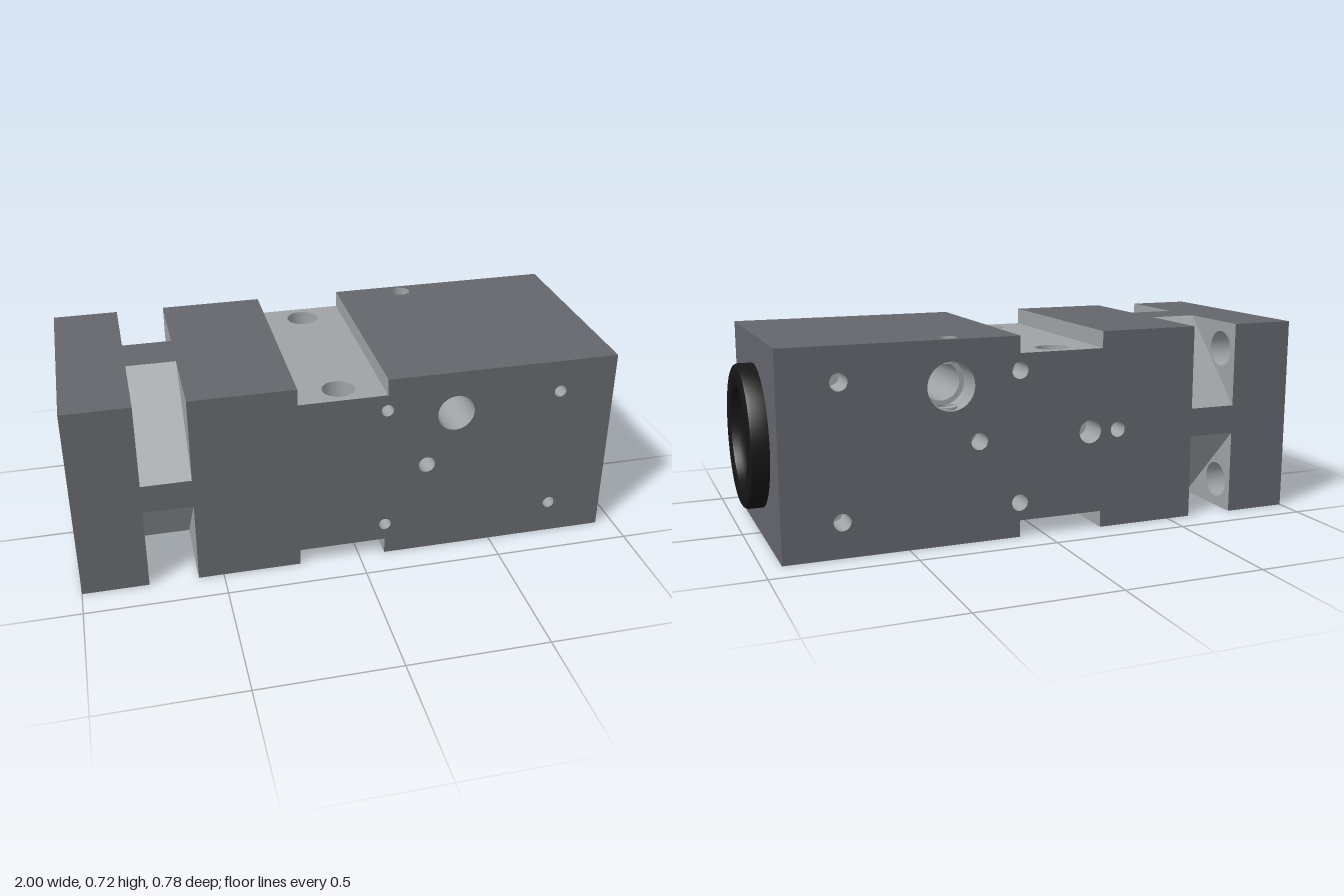
import * as THREE from 'three';
import { toCreasedNormals } from 'three/addons/utils/BufferGeometryUtils.js';

const W = 0.39, H = 0.715, CY = H / 2;          // half depth, height, bore axis
const X0 = -1, X1 = 0.935;                      // block ends
const P0 = -0.765, P1 = -0.59;                  // corner pockets
const G0 = -0.22, G1 = 0.095, GD = 0.06;        // cross grooves
const PY = 0.305, PZ = 0.085;                   // pocket height, inner z

const material = (color) => new THREE.MeshStandardMaterial({ color, side: THREE.DoubleSide });

export function createModel() {
  const model = new THREE.Group();
  const dark = material(0x64666c), metal = material(0xa0a3a5), black = material(0x161616);

  const add = (name, geometry, mat) => {
    const mesh = new THREE.Mesh(geometry, mat);
    mesh.name = name;
    model.add(mesh);
    return mesh;
  };

  // In-plane coordinates: x-faces use (z, y), y-faces (x, z), z-faces (x, y)
  const place = { x: (a, b, l) => [l, b, a], y: (a, b, l) => [a, l, b], z: (a, b, l) => [a, b, l] };

  // Flat face at a level on an axis, with round holes given as [a, b, r]
  function panel(name, axis, sign, level, points, holes = [], mat = dark) {
    const shape = new THREE.Shape(points.map(([a, b]) => new THREE.Vector2(a, b)));
    for (const [a, b, r] of holes) shape.holes.push(new THREE.Path().absarc(a, b, r, 0, Math.PI * 2, true));
    const geometry = new THREE.ShapeGeometry(shape, 24);
    const pos = geometry.attributes.position;
    for (let i = 0; i < pos.count; i++) pos.setXYZ(i, ...place[axis](pos.getX(i), pos.getY(i), level));
    if ((axis === 'z') !== (sign > 0)) geometry.index.array.reverse();
    geometry.computeVertexNormals();
    add(name, geometry, mat);
  }

  const rect = (a0, b0, a1, b1) => [[a0, b0], [a1, b0], [a1, b1], [a0, b1]];
  const circle = (a, b, r) => Array.from({ length: 48 }, (_, i) => {
    const t = (i / 48) * Math.PI * 2;
    return [a + r * Math.cos(t), b + r * Math.sin(t)];
  });

  // Inner wall of a drilled hole, with an optional floor at its far end
  function drill(name, axis, a, b, r, from, to, floor = false) {
    const geometry = new THREE.CylinderGeometry(r, r, Math.abs(to - from), 48, 1, true);
    if (axis === 'x') geometry.rotateZ(Math.PI / 2);
    if (axis === 'z') geometry.rotateX(Math.PI / 2);
    geometry.translate(...place[axis](a, b, (from + to) / 2));
    add(name, geometry, metal);
    if (floor) panel(name + 'Floor', axis, Math.sign(from - to), to, circle(a, b, r), [], metal);
  }

  // Front and back faces with their drilled holes
  const side = [
    [X0, 0], [P0, 0], [P0, PY], [P1, PY], [P1, 0], [G0, 0], [G0, GD], [G1, GD], [G1, 0], [X1, 0],
    [X1, H], [G1, H], [G1, H - GD], [G0, H - GD], [G0, H], [P1, H], [P1, H - PY], [P0, H - PY], [P0, H], [X0, H],
  ];
  const screws = (r) => [[0.095, 0.125, r], [0.095, 0.595, r], [0.73, 0.125, r], [0.73, 0.595, r]];
  const frontBlind = [...screws(0.022), [0.245, CY, 0.03]];
  const backBlind = [...screws(0.03), [0.245, CY, 0.03], [-0.175, CY, 0.042], [-0.285, CY, 0.028]];
  const cross = [0.345, 0.555];
  panel('frontFace', 'z', 1, W, side, [...frontBlind, [...cross, 0.067]]);
  panel('backFace', 'z', -1, -W, side, [...backBlind, [...cross, 0.085]]);
  for (const [a, b, r] of frontBlind) drill('frontHole', 'z', a, b, r, W, W - 0.12, true);
  for (const [a, b, r] of backBlind) drill('backHole', 'z', a, b, r, -W, -W + 0.12, true);

  // Cross hole with a wider mouth at the back
  drill('crossHole', 'z', ...cross, 0.067, W, -0.28);
  drill('crossHoleMouth', 'z', ...cross, 0.085, -W, -0.28);
  panel('crossHoleStep', 'z', -1, -0.28, circle(...cross, 0.085), [[...cross, 0.067]], metal);

  // Top and bottom faces, grooves and vertical holes
  const rear = [[X0, -W], [P0, -W], [P0, -PZ], [P1, -PZ], [P1, -W], [G0, -W],
    [G0, W], [P1, W], [P1, PZ], [P0, PZ], [P0, W], [X0, W]];
  const port = [0.345, -0.34, 0.036];
  const grooveHoles = [-1, 1].map((s) => [-0.06, s * 0.305, 0.058]);
  for (const s of [-1, 1]) {
    const level = s > 0 ? H : 0, floor = level - s * GD;
    panel('rearOuterFace', 'y', s, level, rear);
    panel('mainOuterFace', 'y', s, level, rect(G1, -W, X1, W), [port]);
    panel('grooveFloor', 'y', s, floor, rect(G0, -W, G1, W), grooveHoles, metal);
    const wall = rect(-W, Math.min(level, floor), W, Math.max(level, floor));
    panel('grooveWall', 'x', 1, G0, wall, [], metal);
    panel('grooveWall', 'x', -1, G1, wall, [], metal);
  }
  for (const [a, b, r] of grooveHoles) drill('grooveHole', 'y', a, b, r, GD, H - GD);
  drill('portHole', 'y', ...port, 0, 0.48);
  drill('portHole', 'y', ...port, 0.63, H);

  // Corner pockets and the flange screw holes that open into them
  const flangeHoles = [];
  for (const sy of [-1, 1]) for (const sz of [-1, 1]) {
    const hole = [sz * 0.295, CY + sy * 0.255, 0.066];
    flangeHoles.push(hole);
    const triangle = [[sz * W, CY + sy * CY], [sz * PZ, CY + sy * CY], [sz * W, CY + sy * (CY - PY)]];
    panel('pocketFlangeWall', 'x', 1, P0, triangle, [hole], metal);
    panel('pocketBodyWall', 'x', -1, P1, triangle, [], metal);
    const slope = new THREE.PlaneGeometry(P1 - P0, PY * Math.SQRT2);
    slope.rotateX(-Math.atan2(sy, sz));
    slope.translate((P0 + P1) / 2, CY + sy * (CY - PY / 2), sz * (W + PZ) / 2);
    add('pocketSlope', slope, metal);
    drill('flangeHole', 'x', ...hole, X0, P0);
  }

  // End faces
  const end = rect(-W, 0, W, H);
  panel('flangeEnd', 'x', -1, X0, end, [...flangeHoles, [0, CY, 0.255]]);
  panel('ringEnd', 'x', 1, X1, end, [[0, CY, 0.2]]);

  // Stepped main bore: [radius, from, to]
  const bore = [[0.255, X0, -0.96], [0.23, -0.96, -0.6], [0.21, -0.6, 0.1], [0.133, 0.1, 0.75]];
  bore.forEach(([r, from, to], i) => {
    drill('mainBore', 'x', 0, CY, r, from, to);
    if (bore[i + 1]) panel('boreStep', 'x', -1, to, circle(0, CY, r), [[0, CY, bore[i + 1][0]]], metal);
  });

  // Black collar around the bore
  const profile = [[0.133, 0.75], [0.133, 0.95], [0.15, 0.958], [0.168, 0.975], [0.178, 0.995], [0.19, 1],
    [0.24, 1], [0.25, 0.995], [0.255, 0.985], [0.255, X1]].map(([r, x]) => new THREE.Vector2(r, x));
  const collar = toCreasedNormals(new THREE.LatheGeometry(profile, 64), 0.6);
  collar.rotateZ(-Math.PI / 2).translate(0, CY, 0);
  add('collar', collar, black);

  return model;
}
